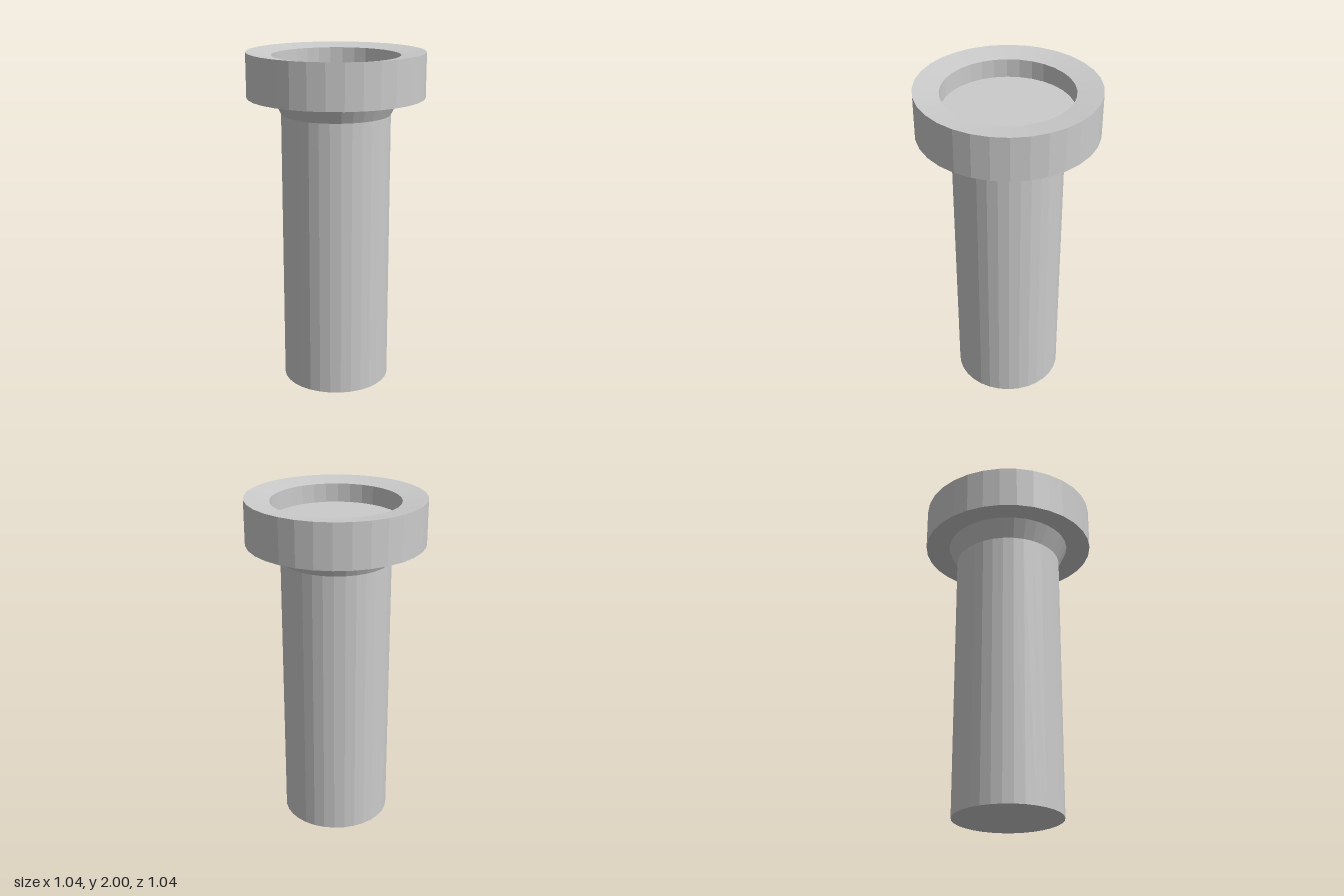
import * as THREE from 'three';

const SIDES = 32;
const SHAFT_R = 0.32, RIM_R = 0.373, HEAD_R = 0.518;

export function createModel() {
  const group = new THREE.Group();
  group.name = 'flangedPin';
  const material = new THREE.MeshStandardMaterial({ color: 0xcccccc, flatShading: true });

  // Revolves a [radius, height] profile, listed from bottom to top along the outside
  const turned = (name, profile) => {
    const points = profile.map(([r, y]) => new THREE.Vector2(r, y));
    const mesh = new THREE.Mesh(new THREE.LatheGeometry(points, SIDES), material);
    mesh.name = name;
    group.add(mesh);
  };

  // Solid shaft with a flat foot
  turned('shaft', [[0, 0], [SHAFT_R, 0], [SHAFT_R, 1.64]]);

  // Flared neck under the head
  turned('neck', [[SHAFT_R, 1.64], [RIM_R, 1.75]]);

  // Wide head: slightly dished underside, outer wall, inward-sloping rim, recess wall
  turned('head', [[RIM_R, 1.75], [HEAD_R, 1.74], [HEAD_R, 2], [RIM_R, 1.98], [RIM_R, 1.87]]);

  // Flat floor of the recess
  turned('recessFloor', [[RIM_R, 1.87], [0, 1.87]]);

  return group;
}
